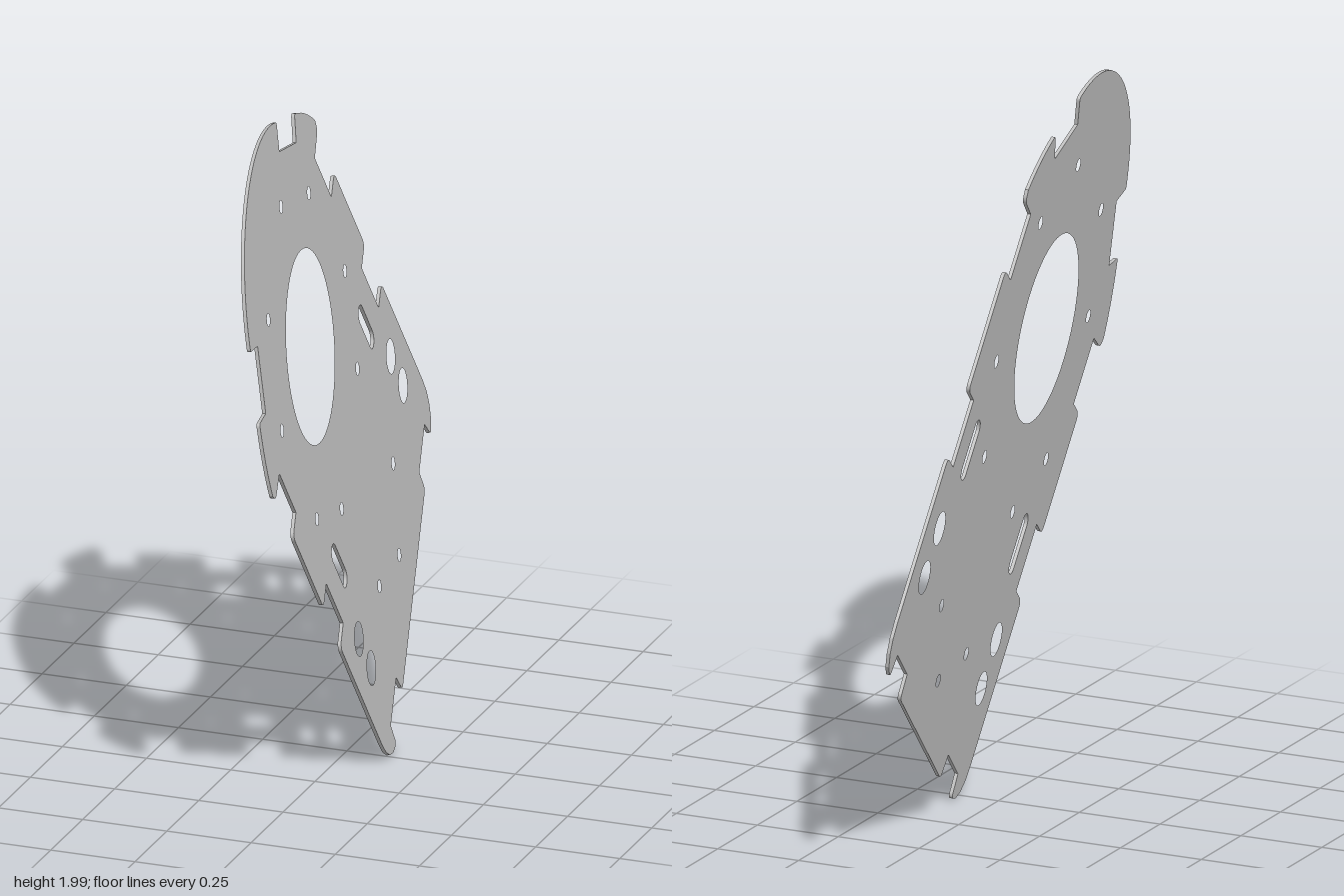
import * as THREE from 'three';

const THICKNESS = 0.01;

// Half outline as [across, along, corner radius]; the plate mirrors about its long axis
function halfOutline() {
  const pts = [];
  // rounded nose
  for (let i = 0; i <= 16; i++) {
    const t = (i / 16) * 0.948;
    pts.push([0.459 * Math.sin(t), 0.29 + 0.459 * Math.cos(t), i === 16 ? 0.01 : 0]);
  }
  // slanted notch
  pts.push([0.315, 0.499, 0], [0.439, 0.35, 0], [0.503, 0.397, 0.012]);
  // shoulder arc around the large opening
  for (let i = 1; i <= 6; i++) {
    const t = 0.902 + (i / 6) * 0.36;
    pts.push([0.64 * Math.sin(t), 0.64 * Math.cos(t), 0]);
  }
  pts.push(
    [0.6, 0.162, 0.02], [0.511, 0.157, 0],
    // middle side tab
    [0.511, -0.041, 0], [0.59, -0.041, 0.025], [0.59, -0.404, 0.025], [0.511, -0.404, 0],
    // rear side tab with rounded foot
    [0.511, -0.606, 0], [0.59, -0.606, 0.025], [0.59, -1.1, 0], [0.585, -1.15, 0],
    [0.568, -1.19, 0], [0.54, -1.22, 0], [0.5, -1.236, 0.018], [0.488, -1.165, 0],
    // tail edge
    [0.333, -1.165, 0], [0.325, -1.238, 0.018],
  );
  return pts;
}

// Closed shape whose corners are softened by their own radius
function roundedShape(pts) {
  const shape = new THREE.Shape();
  const n = pts.length;
  const vec = (i) => new THREE.Vector2(pts[(i + n) % n][0], pts[(i + n) % n][1]);
  const toward = (a, b, d) => a.clone().add(b.clone().sub(a).setLength(d));
  for (let i = 0; i < n; i++) {
    const c = vec(i), r = pts[i][2];
    const start = r ? toward(c, vec(i - 1), r) : c;
    if (i === 0) shape.moveTo(start.x, start.y);
    else shape.lineTo(start.x, start.y);
    if (r) {
      const end = toward(c, vec(i + 1), r);
      shape.quadraticCurveTo(c.x, c.y, end.x, end.y);
    }
  }
  shape.closePath();
  return shape;
}

function roundHole(x, y, r) {
  return new THREE.Path().absarc(x, y, r, 0, Math.PI * 2, true);
}

function slotHole(x, y0, y1, r) {
  const path = new THREE.Path();
  path.absarc(x, y1, r, 0, Math.PI, false);
  path.absarc(x, y0, r, Math.PI, Math.PI * 2, false);
  path.closePath();
  return path;
}

export function createModel() {
  const group = new THREE.Group();
  group.name = 'mountingPlate';
  const grey = new THREE.MeshStandardMaterial({ color: 0xbfbfbf });
  grey.name = 'light grey';

  const half = halfOutline();
  const mirrored = half.slice(1).reverse().map(([x, y, r]) => [-x, y, r]);
  const shape = roundedShape([...half, ...mirrored]);

  // large opening and the single screw hole on the axis
  shape.holes.push(roundHole(0, 0, 0.27), roundHole(0, -1.063, 0.018));
  // mirrored screw holes, cable holes and slots
  const screws = [[0.183, 0.425], [0.385, 0.177], [0.402, -0.247], [0.227, -0.47], [0.199, -0.909]];
  for (const s of [-1, 1]) {
    for (const [x, y] of screws) shape.holes.push(roundHole(s * x, y, 0.018));
    for (const y of [-0.771, -0.919]) shape.holes.push(roundHole(s * 0.458, y, 0.048));
    shape.holes.push(slotHole(s * 0.387, -0.571, -0.446, 0.027));
  }

  const geometry = new THREE.ExtrudeGeometry(shape, {
    depth: THICKNESS, bevelEnabled: false, curveSegments: 32,
  });
  geometry.translate(0, 0, -THICKNESS / 2);

  // lay the plate into its tilted plane: x = 0.128 - 0.137 y + 0.148 z
  const onPlane = (y, z) => new THREE.Vector3(-0.137 * y + 0.148 * z, y, z);
  const across = onPlane(-0.6, 0.8);
  const along = onPlane(0.8, 0.6);
  const normal = across.clone().cross(along).normalize();
  const tilt = new THREE.Matrix4().makeBasis(across, along, normal);
  tilt.setPosition(onPlane(1.312, 0.2685).add(new THREE.Vector3(0.128, 0, 0)));
  geometry.applyMatrix4(tilt);

  const plate = new THREE.Mesh(geometry, grey);
  plate.name = 'plate';
  group.add(plate);
  return group;
}
